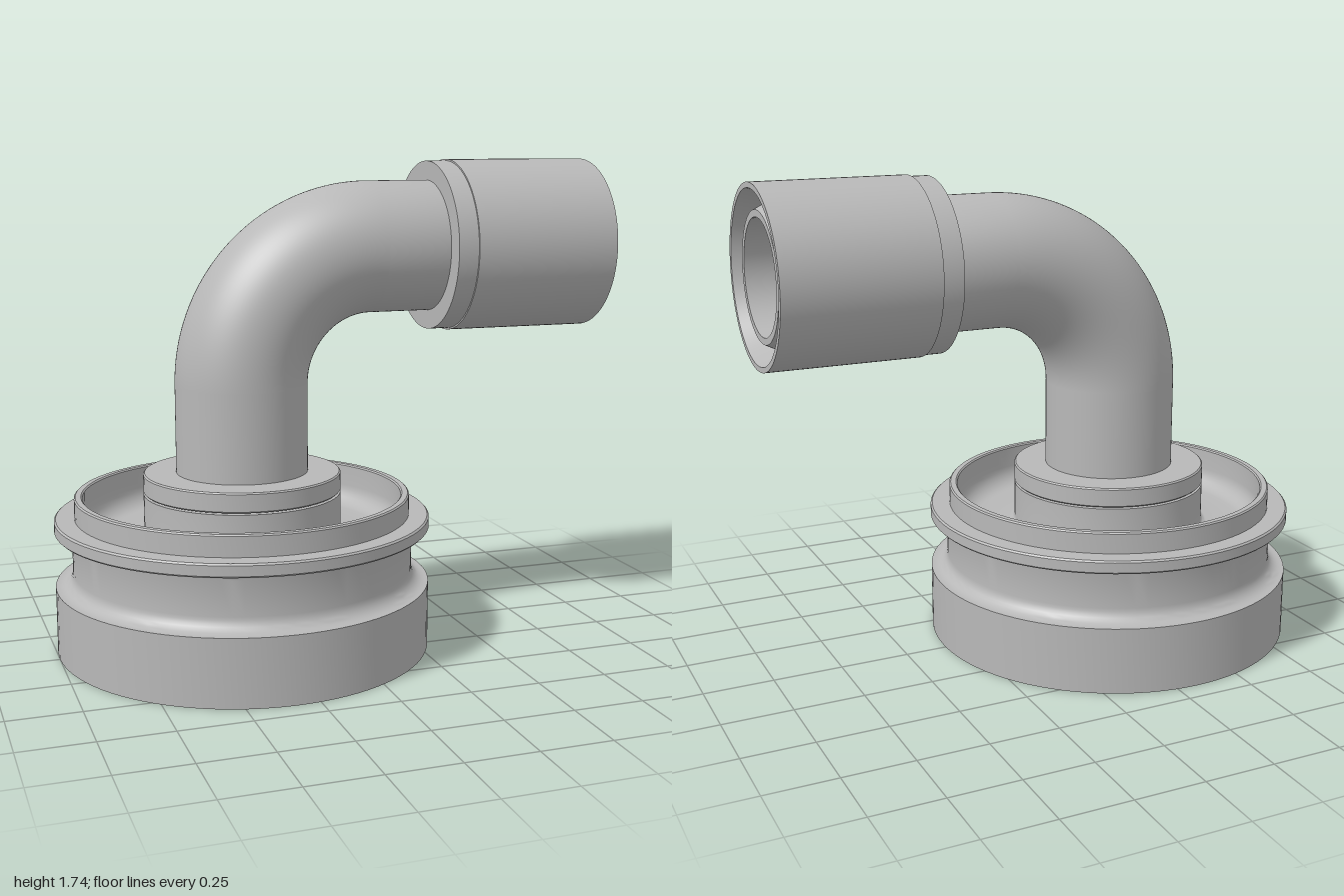
import * as THREE from 'three';
import { toCreasedNormals } from 'three/addons/utils/BufferGeometryUtils.js';

export function createModel() {
  const model = new THREE.Group();
  model.name = 'elbowFitting';
  const grey = new THREE.MeshStandardMaterial({ color: 0xb8b8b8, side: THREE.DoubleSide });
  grey.name = 'grey';

  const baseX = -0.326, pipeR = 0.237, boreR = 0.198;
  const bendR = 0.476, bendY = 0.955, bendX = baseX + bendR, axisY = bendY + bendR;

  const add = (name, geometry, parent = model) => {
    const mesh = new THREE.Mesh(geometry, grey);
    mesh.name = name;
    parent.add(mesh);
    return mesh;
  };
  // Closed turned profile of [radius, height] points
  const turn = (points) => toCreasedNormals(new THREE.LatheGeometry(
    points.map(([r, y]) => new THREE.Vector2(r, y)), 96), 0.5);
  // Quarter-round fillet points from angle a to angle b (degrees)
  const fillet = (cx, cy, rad, a, b) => Array.from({ length: 8 }, (_, i) => {
    const t = THREE.MathUtils.degToRad(a + (b - a) * i / 7);
    return [cx + rad * Math.cos(t), cy + rad * Math.sin(t)];
  });

  // Thin-walled base with a waist, a rim and a moulded channel
  const base = new THREE.Group();
  base.name = 'base';
  base.position.x = baseX;
  model.add(base);
  add('baseShell', turn([
    [0.674, 0], [0.674, 0.24], [0.662, 0.24],
    ...fillet(0.662, 0.29, 0.05, 270, 180),
    ...fillet(0.637, 0.413, 0.025, 180, 90),
    [0.668, 0.438], [0.674, 0.444], [0.674, 0.48], [0.668, 0.486],
    [0.602, 0.486], [0.602, 0.557], [0.597, 0.562], [0.577, 0.562], [0.572, 0.557],
    ...fillet(0.502, 0.48, 0.07, 0, -90),
    ...fillet(0.375, 0.43, 0.02, 270, 180),
    [0.355, 0.562], [0.25, 0.562], [0.25, 0.36], [0.3, 0.36],
    [0.5, 0.36], ...fillet(0.5, 0.3, 0.06, 90, 0),
    [0.56, 0.225], [0.66, 0.225], [0.66, 0], [0.674, 0],
  ]), base);
  add('hubCollar', turn([
    [0.23, 0.567], [0.35, 0.567], [0.355, 0.572], [0.355, 0.633], [0.35, 0.638],
    [0.23, 0.638], [0.23, 0.567],
  ]), base);
  add('hubSleeve', turn([
    [0.27, 0.3], [0.27, 0.56], [0.23, 0.56], [0.23, 0.3], [0.27, 0.3],
  ]), base);
  add('risingPipe', turn([
    [boreR, 0.3], [pipeR, 0.3], [pipeR, bendY], [boreR, bendY], [boreR, 0.3],
  ]), base);

  // Quarter bend, outer skin and bore
  for (const [name, r] of [['bendOuter', pipeR], ['bendBore', boreR]]) {
    const g = new THREE.TorusGeometry(bendR, r, 96, 48, Math.PI / 2);
    g.rotateZ(Math.PI / 2);
    add(name, g).position.set(bendX, bendY, 0);
  }

  // Horizontal parts are turned along x
  const outlet = new THREE.Group();
  outlet.name = 'outlet';
  outlet.position.y = axisY;
  outlet.rotation.z = -Math.PI / 2;
  model.add(outlet);
  add('outletPipe', turn([
    [boreR, bendX], [pipeR, bendX], [pipeR, 0.95], [0.222, 0.98], [boreR, 0.98], [boreR, bendX],
  ]), outlet);
  add('socketCollar', turn([
    [0.23, 0.38], [0.306, 0.38], [0.306, 0.455], [0.23, 0.455], [0.23, 0.38],
  ]), outlet);
  add('socket', turn([
    [0.23, 0.455], [0.312, 0.455], [0.312, 1], [0.293, 1], [0.267, 0.92],
    [0.23, 0.92], [0.23, 0.455],
  ]), outlet);

  return model;
}
